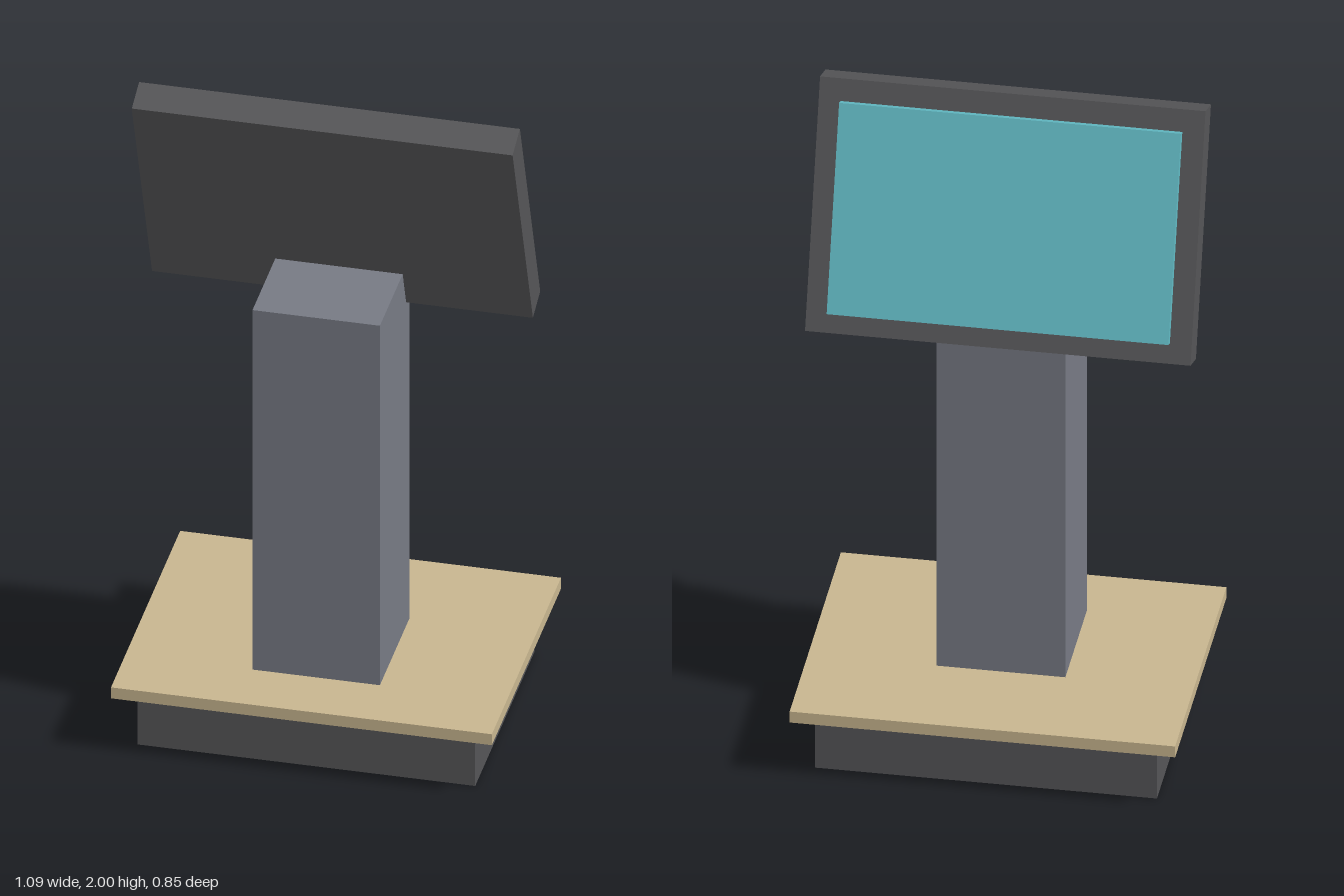
import * as THREE from 'three';

export function createModel() {
  const mat = (name, color) => {
    const m = new THREE.MeshStandardMaterial({ color });
    m.name = name;
    return m;
  };
  const charcoal = mat('charcoal', 0x555557);
  const slate = mat('slate grey', 0x777a84);
  const wood = mat('light wood', 0xc8b68f);
  const glass = mat('teal screen', 0x62bac4);

  const box = (parent, name, size, position, material) => {
    const mesh = new THREE.Mesh(new THREE.BoxGeometry(...size), material);
    mesh.name = name;
    mesh.position.set(...position);
    parent.add(mesh);
  };

  const model = new THREE.Group();
  model.name = 'kioskStand';

  // Base and upright
  box(model, 'plinth', [0.97, 0.18, 0.73], [0, 0.09, 0], charcoal);
  box(model, 'baseBoard', [1.094, 0.036, 0.852], [0, 0.198, 0], wood);
  box(model, 'column', [0.366, 1.184, 0.362], [0, 0.808, 0.063], slate);

  // Tilted display, its screen facing back and up
  const display = new THREE.Group();
  display.name = 'display';
  display.position.set(0, 1.641, 0);
  display.rotation.x = THREE.MathUtils.degToRad(20);
  box(display, 'displayHousing', [1.094, 0.73, 0.096], [0, 0, 0], charcoal);
  box(display, 'screen', [0.97, 0.606, 0.028], [0, -0.003, -0.06], glass);
  model.add(display);

  return model;
}
